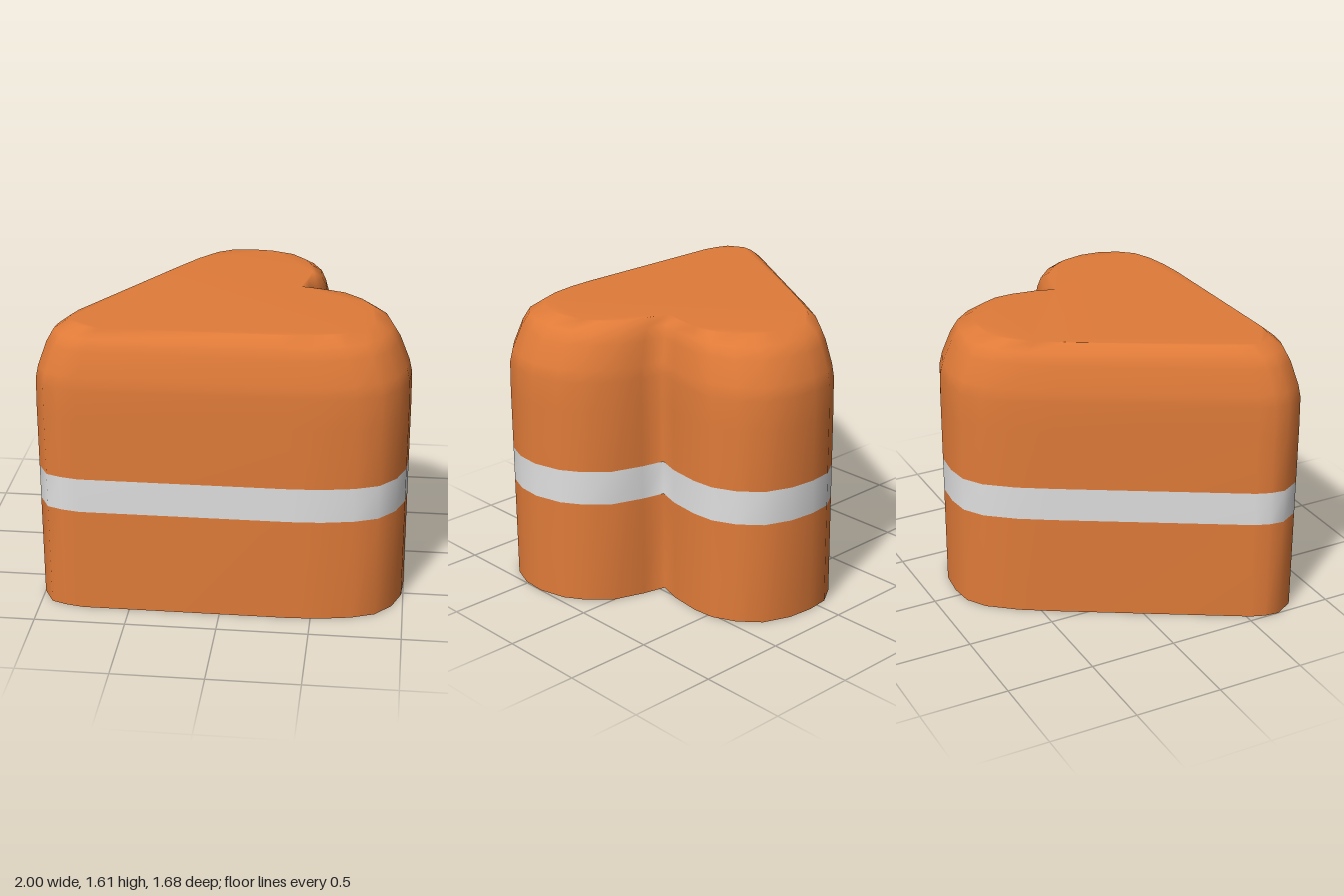
import * as THREE from 'three';

// Heart outline as [x, z], running from the tip round both lobes
const OUTLINE = [
  [-1, 0.68], [-0.99, 0.6], [-0.96, 0.52], [-0.41, -0.43], [-0.3, -0.61], [-0.18, -0.76],
  [-0.07, -0.83], [0.06, -0.845], [0.21, -0.83], [0.36, -0.77], [0.46, -0.66], [0.52, -0.53],
  [0.53, -0.4], [0.51, -0.22], [0.47, -0.09], [0.6, -0.06], [0.77, 0], [0.89, 0.11],
  [0.96, 0.22], [1, 0.38], [0.99, 0.52], [0.94, 0.65], [0.85, 0.75], [0.72, 0.8],
  [0.55, 0.83], [0.38, 0.84], [-0.76, 0.84], [-0.86, 0.82], [-0.94, 0.79],
];
// Point towards which the rounded top shrinks
const CX = -0.08, CZ = 0.19;

// Lofts the outline through rings of [height, scale], optionally closing the top
function loft(rings, capped) {
  const n = OUTLINE.length;
  const positions = [], index = [];
  for (const [y, s] of rings) {
    for (const [x, z] of OUTLINE) positions.push(CX + (x - CX) * s, y, CZ + (z - CZ) * s);
  }
  for (let r = 0; r < rings.length - 1; r++) {
    for (let i = 0; i < n; i++) {
      const a = r * n + i, b = r * n + (i + 1) % n;
      index.push(a, a + n, b, b, a + n, b + n);
    }
  }
  if (capped) {
    const base = (rings.length - 1) * n;
    const contour = OUTLINE.map(([x, z]) => new THREE.Vector2(x, z));
    for (const [a, b, c] of THREE.ShapeUtils.triangulateShape(contour, [])) {
      index.push(base + a, base + c, base + b);
    }
  }
  const geometry = new THREE.BufferGeometry();
  geometry.setAttribute('position', new THREE.Float32BufferAttribute(positions, 3));
  geometry.setIndex(index);
  geometry.computeVertexNormals();
  return geometry;
}

export function createModel() {
  const group = new THREE.Group();
  group.name = 'heartCover';

  const orange = new THREE.MeshStandardMaterial({ color: 0xe07b39, side: THREE.DoubleSide });
  orange.name = 'orange';
  const lightGrey = new THREE.MeshStandardMaterial({ color: 0xe0e0e0, side: THREE.DoubleSide });
  lightGrey.name = 'lightGrey';

  const add = (name, rings, material, capped = false) => {
    const mesh = new THREE.Mesh(loft(rings, capped), material);
    mesh.name = name;
    group.add(mesh);
  };

  // Hollow wall, open underneath
  add('lowerWall', [[0, 1], [0.59, 1]], orange);
  // Band flush with the wall, showing inside and out
  add('band', [[0.59, 1], [0.785, 1]], lightGrey);
  // Upper wall rounding over into the flat top
  add('roundedTop', [
    [0.785, 1], [1.13, 1], [1.3, 0.997], [1.37, 0.982],
    [1.5, 0.932], [1.565, 0.892], [1.61, 0.813],
  ], orange, true);

  return group;
}
